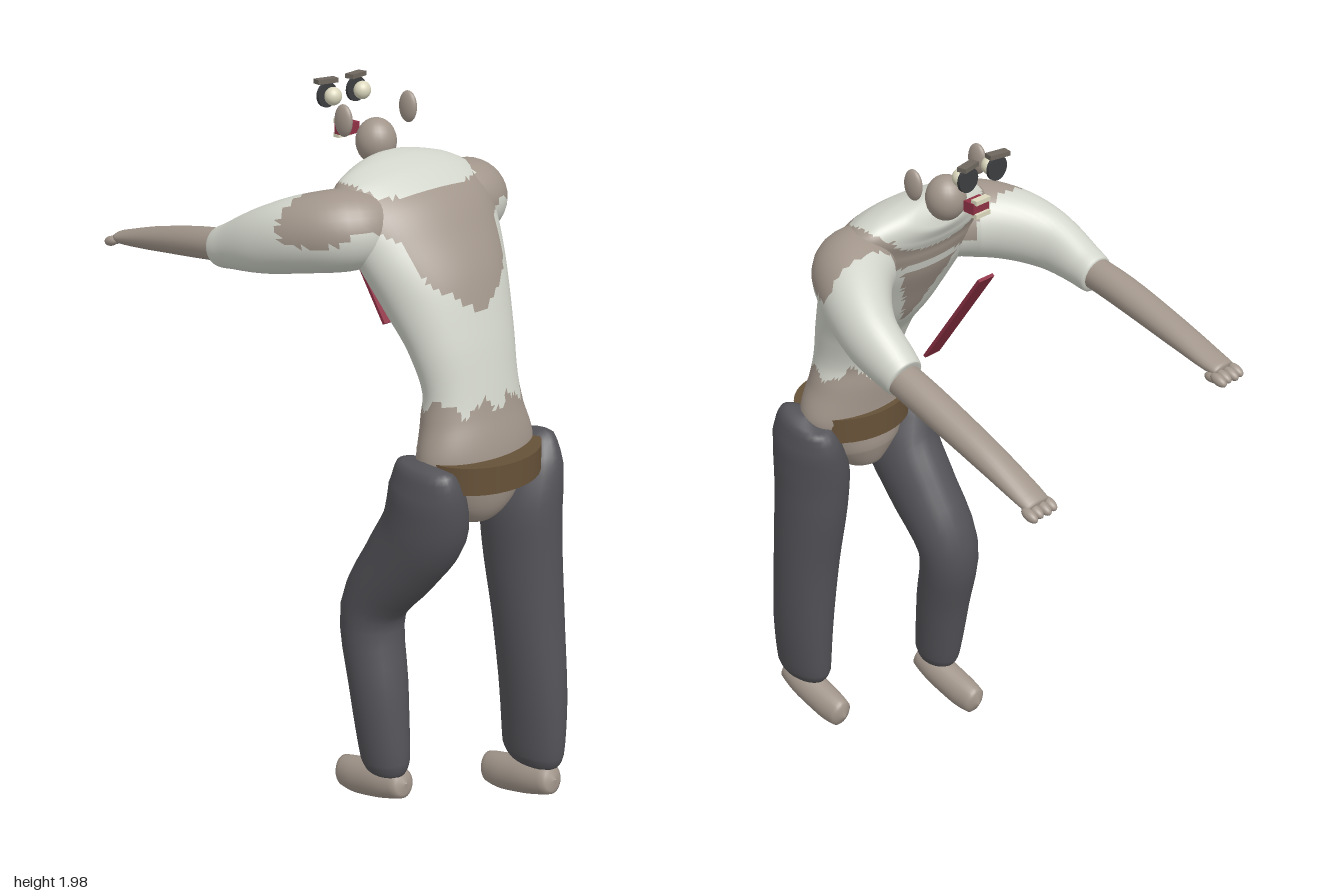
import * as THREE from 'three';

const mat = (name, color) => {
  const m = new THREE.MeshStandardMaterial({ color });
  m.name = name;
  return m;
};

// Smooth lofted body along rows of [x, y, z, radiusU, radiusV]; pick() sorts faces into materials.
function loft(name, rows, ref, materials, pick, sides = 24, perSpan = 4) {
  const path = new THREE.CatmullRomCurve3(rows.map(r => new THREE.Vector3(r[0], r[1], r[2])));
  const size = new THREE.CatmullRomCurve3(rows.map(r => new THREE.Vector3(r[3], r[4], 0)));
  const n = (rows.length - 1) * perSpan;
  const pts = [];
  for (let i = 0; i <= n; i++) {
    const c = path.getPoint(i / n), r = size.getPoint(i / n);
    const t = path.getTangent(i / n);
    const u = new THREE.Vector3().crossVectors(t, ref).normalize();
    const v = new THREE.Vector3().crossVectors(u, t);
    for (let j = 0; j < sides; j++) {
      const a = j / sides * Math.PI * 2;
      pts.push(c.clone()
        .addScaledVector(u, Math.cos(a) * Math.max(r.x, 0.0005))
        .addScaledVector(v, Math.sin(a) * Math.max(r.y, 0.0005)));
    }
  }
  const buckets = materials.map(() => []);
  const add = (a, b, c) => {
    const mid = pts[a].clone().add(pts[b]).add(pts[c]).divideScalar(3);
    buckets[pick ? pick(mid) : 0].push(a, b, c);
  };
  for (let i = 0; i < n; i++) for (let j = 0; j < sides; j++) {
    const k = (j + 1) % sides;
    const a = i * sides + j, b = i * sides + k, c = a + sides, d = b + sides;
    add(a, c, b);
    add(c, d, b);
  }
  const geo = new THREE.BufferGeometry().setFromPoints(pts);
  geo.setIndex(buckets.flat());
  let start = 0;
  buckets.forEach((b, i) => { geo.addGroup(start, b.length, i); start += b.length; });
  geo.computeVertexNormals();
  const mesh = new THREE.Mesh(geo, materials);
  mesh.name = name;
  return mesh;
}

// Worn-through area over the back and shoulders, right half as (x, y)
const half = [[0, 1.475], [0.07, 1.52], [0.14, 1.57], [0.155, 1.62], [0.17, 1.67], [0.25, 1.70],
  [0.33, 1.66], [0.38, 1.66], [0.38, 1.73], [0.30, 1.775], [0.21, 1.80], [0.17, 1.765], [0, 1.77]];
function inBackPatch(x, y) {
  x = Math.abs(x);
  let inside = false;
  for (let i = 0, j = half.length - 1; i < half.length; j = i++) {
    const [xi, yi] = half[i], [xj, yj] = half[j];
    if ((yi > y) !== (yj > y) && x < (xj - xi) * (y - yi) / (yj - yi) + xi) inside = !inside;
  }
  return inside;
}

// 0 = shirt, 1 = skin
function bodyColor(p) {
  const a = Math.atan2(p.z - 0.44, p.x);
  if (p.y < 1.25 + 0.018 * Math.sin(a * 7) + 0.008 * Math.sin(a * 17)) return 1;
  if (p.z > (p.y > 1.66 ? 0.12 : 0.25) && inBackPatch(p.x, p.y)) return 1;
  const front = p.z < 0.385 - (p.y - 1.45) * 0.75;
  if (front && p.y > 1.42 && p.y < 1.64 && Math.abs(p.x) < (p.y - 1.42) * 0.45) return 1;
  return 0;
}

export function createModel() {
  const g = new THREE.Group();
  g.name = 'figure';
  const skin = mat('skin', 0xa2968b), shirt = mat('shirt', 0xd2d5cb), pants = mat('trousers', 0x535358);
  const leather = mat('belt leather', 0x665138), red = mat('red', 0x8e3044);
  const cream = mat('cream', 0xdcd8be), dark = mat('pupil', 0x3c3d40), browMat = mat('brow', 0x6e675e);
  const Y = new THREE.Vector3(0, 1, 0), Z = new THREE.Vector3(0, 0, 1);

  const put = (name, geo, m, x, y, z, sx = 1, sy = 1, sz = 1) => {
    const mesh = new THREE.Mesh(geo, m);
    mesh.name = name;
    mesh.position.set(x, y, z);
    mesh.scale.set(sx, sy, sz);
    g.add(mesh);
    return mesh;
  };
  const ball = new THREE.SphereGeometry(1, 24, 16);
  const box = new THREE.BoxGeometry(1, 1, 1);

  // Torso, bent forward toward -z
  g.add(loft('torso', [
    [0, 0.90, 0.44, 0, 0], [0, 0.915, 0.44, 0.06, 0.06], [0, 0.98, 0.45, 0.13, 0.10],
    [0, 1.10, 0.46, 0.188, 0.11], [0, 1.20, 0.447, 0.162, 0.102], [0, 1.28, 0.438, 0.15, 0.092],
    [0, 1.40, 0.40, 0.17, 0.10], [0, 1.51, 0.345, 0.20, 0.12], [0, 1.60, 0.295, 0.23, 0.12],
    [0, 1.68, 0.245, 0.25, 0.115], [0, 1.745, 0.19, 0.25, 0.09], [0, 1.78, 0.145, 0.20, 0.065],
    [0, 1.80, 0.11, 0.10, 0.04], [0, 1.805, 0.10, 0, 0],
  ], Z, [shirt, skin], bodyColor, 72, 6));

  // Belt
  put('belt', new THREE.CylinderGeometry(1, 1, 0.075, 32), leather, 0, 1.078, 0.475, 0.18, 1, 0.145);

  // Trouser legs: left straight, right bent at the knee
  g.add(loft('leftTrouserLeg', [
    [0.185, 1.115, 0.465, 0, 0], [0.185, 1.10, 0.47, 0.045, 0.09], [0.17, 1.03, 0.48, 0.078, 0.12],
    [0.15, 0.92, 0.49, 0.098, 0.122], [0.15, 0.80, 0.50, 0.098, 0.117], [0.155, 0.60, 0.525, 0.092, 0.105],
    [0.16, 0.35, 0.55, 0.077, 0.105], [0.158, 0.19, 0.558, 0.062, 0.10],
    [0.157, 0.155, 0.558, 0.045, 0.08], [0.157, 0.15, 0.558, 0, 0],
  ], Z, [pants]));
  g.add(loft('rightTrouserLeg', [
    [-0.185, 1.115, 0.46, 0, 0], [-0.185, 1.10, 0.46, 0.045, 0.09], [-0.17, 1.03, 0.455, 0.08, 0.115],
    [-0.15, 0.92, 0.43, 0.10, 0.12], [-0.15, 0.80, 0.355, 0.10, 0.11], [-0.16, 0.62, 0.248, 0.093, 0.087],
    [-0.175, 0.40, 0.285, 0.08, 0.083], [-0.18, 0.19, 0.318, 0.06, 0.076],
    [-0.18, 0.155, 0.322, 0.045, 0.06], [-0.18, 0.15, 0.322, 0, 0],
  ], Z, [pants]));

  // Feet
  for (const [name, x, dz, dy] of [['leftFoot', 0.15, 0, 0], ['rightFoot', -0.175, -0.255, 0.01]]) {
    g.add(loft(name, [
      [x, 0.128, 0.65, 0, 0], [x, 0.124, 0.635, 0.038, 0.042], [x, 0.10, 0.55, 0.048, 0.052],
      [x, 0.076, 0.46, 0.045, 0.053], [x, 0.066, 0.405, 0.036, 0.046], [x, 0.062, 0.385, 0, 0],
    ].map(r => [r[0], r[1] + dy, r[2] + dz, r[3], r[4]]), Y, [skin]));
  }

  // Sleeves
  g.add(loft('leftSleeve', [
    [0.12, 1.68, 0.24, 0.08, 0.09], [0.22, 1.68, 0.20, 0.11, 0.105], [0.29, 1.65, 0.12, 0.093, 0.10],
    [0.335, 1.60, 0.02, 0.073, 0.085], [0.34, 1.545, -0.08, 0.06, 0.065],
    [0.343, 1.53, -0.11, 0.053, 0.056], [0.343, 1.528, -0.115, 0, 0],
  ], Y, [shirt, skin], bodyColor, 36, 6));
  g.add(loft('rightSleeve', [
    [-0.12, 1.68, 0.24, 0.08, 0.09], [-0.22, 1.68, 0.20, 0.11, 0.105], [-0.29, 1.665, 0.12, 0.093, 0.10],
    [-0.335, 1.635, 0.02, 0.07, 0.085], [-0.342, 1.60, -0.09, 0.057, 0.062],
    [-0.34, 1.585, -0.14, 0.052, 0.052], [-0.34, 1.584, -0.145, 0, 0],
  ], Y, [shirt, skin], bodyColor, 36, 6));

  // Forearms with fingers
  g.add(loft('leftForearm', [
    [0.343, 1.535, -0.08, 0.046, 0.046], [0.345, 1.50, -0.20, 0.048, 0.044], [0.347, 1.435, -0.40, 0.045, 0.037],
    [0.345, 1.375, -0.55, 0.042, 0.022], [0.345, 1.365, -0.575, 0.038, 0.017], [0.345, 1.363, -0.58, 0, 0],
  ], Y, [skin]));
  g.add(loft('rightForearm', [
    [-0.342, 1.595, -0.11, 0.044, 0.044], [-0.335, 1.575, -0.24, 0.047, 0.042], [-0.315, 1.535, -0.45, 0.044, 0.033],
    [-0.302, 1.508, -0.58, 0.04, 0.022], [-0.30, 1.502, -0.615, 0.036, 0.017], [-0.30, 1.50, -0.62, 0, 0],
  ], Y, [skin]));
  for (const [name, x, y, z] of [['left', 0.347, 1.357, -0.58], ['right', -0.295, 1.492, -0.63]]) {
    for (let i = 0; i < 4; i++) {
      const f = put(name + 'Finger' + (i + 1), ball, skin,
        x + (i - 1.5) * 0.024, y, z - (i % 2) * 0.004, 0.014, 0.014, 0.026);
      f.rotation.x = -0.3;
    }
    put(name + 'Thumb', ball, skin, x - Math.sign(x) * 0.03, y - 0.004, z + 0.02, 0.014, 0.013, 0.025);
  }

  // Neck stump and floating face pieces
  put('neck', ball, skin, 0, 1.85, 0.085, 0.054, 0.061, 0.054);
  for (const s of [-1, 1]) {
    put('ear', ball, skin, s * 0.115, 1.922, 0.085, 0.015, 0.042, 0.03);
    put('eye', ball, cream, s * 0.052, 1.957, -0.022, 0.024, 0.024, 0.022);
    const disc = put('pupil', new THREE.CylinderGeometry(0.033, 0.033, 0.009, 24), dark, s * 0.052, 1.957, -0.046);
    disc.rotation.x = Math.PI / 2;
    const brow = put('brow', box, browMat, s * 0.053, 1.994, -0.048, 0.06, 0.012, 0.026);
    brow.rotation.y = s * 0.2;
  }
  put('mouth', box, red, 0, 1.865, -0.025, 0.056, 0.03, 0.035);
  put('upperTeeth', box, cream, 0, 1.883, -0.041, 0.05, 0.012, 0.02);
  put('lowerTeeth', box, cream, 0, 1.846, -0.041, 0.05, 0.012, 0.02);

  // Hanging tie
  const tie = put('tie', box, red, 0, 1.52, 0.042, 0.054, 0.365, 0.009);
  tie.rotation.x = -Math.atan2(0.205, 0.30);
  return g;
}
